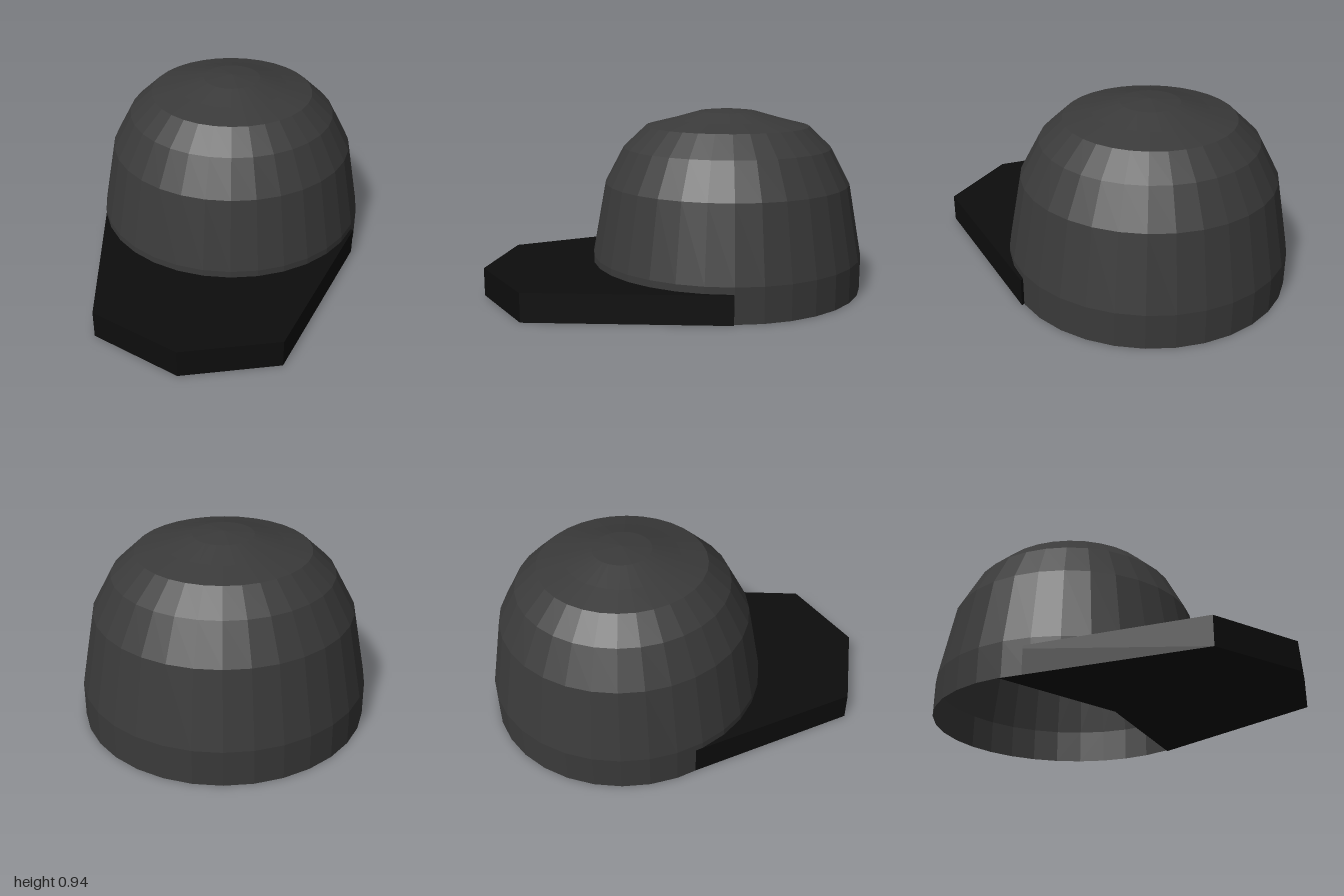
import * as THREE from 'three';

export function createModel() {
  const group = new THREE.Group();
  group.name = 'cap';

  // Crown: open-bottomed faceted dome
  const profile = [
    [0.715, 0], [0.715, 0.18], [0.645, 0.56], [0.547, 0.745],
    [0.43, 0.855], [0.29, 0.89], [0.15, 0.93], [0, 0.945],
  ].map(([r, y]) => new THREE.Vector2(r, y));
  const crown = new THREE.Mesh(
    new THREE.LatheGeometry(profile, 32),
    new THREE.MeshStandardMaterial({ color: 0x3a3a3a, flatShading: true, side: THREE.DoubleSide })
  );
  crown.name = 'crown';
  crown.position.z = -0.285;
  group.add(crown);

  // Brim: thick pointed slab, its outline given as [x, z]
  const notch = [-0.02, 0.01];
  const outline = [
    [0.715, -0.14], notch, [-0.7, -0.16], [-0.452, 0.82], [0.01, 1], [0.475, 0.83],
  ];
  const shape = new THREE.Shape(outline.map(([x, z]) => new THREE.Vector2(x, -z)));
  const brimGeometry = new THREE.ExtrudeGeometry(shape, { depth: 0.145, bevelEnabled: false });
  brimGeometry.rotateX(-Math.PI / 2);

  // The back edge is notched below and straight on top
  const p = brimGeometry.attributes.position;
  for (let i = 0; i < p.count; i++) {
    const atNotch = Math.hypot(p.getX(i) - notch[0], p.getZ(i) - notch[1]) < 0.001;
    if (atNotch && p.getY(i) > 0.1) p.setZ(i, -0.15);
  }
  brimGeometry.computeVertexNormals();
  const brim = new THREE.Mesh(
    brimGeometry,
    new THREE.MeshStandardMaterial({ color: 0x0d0d0d, flatShading: true, side: THREE.DoubleSide })
  );
  brim.name = 'brim';
  group.add(brim);

  return group;
}
